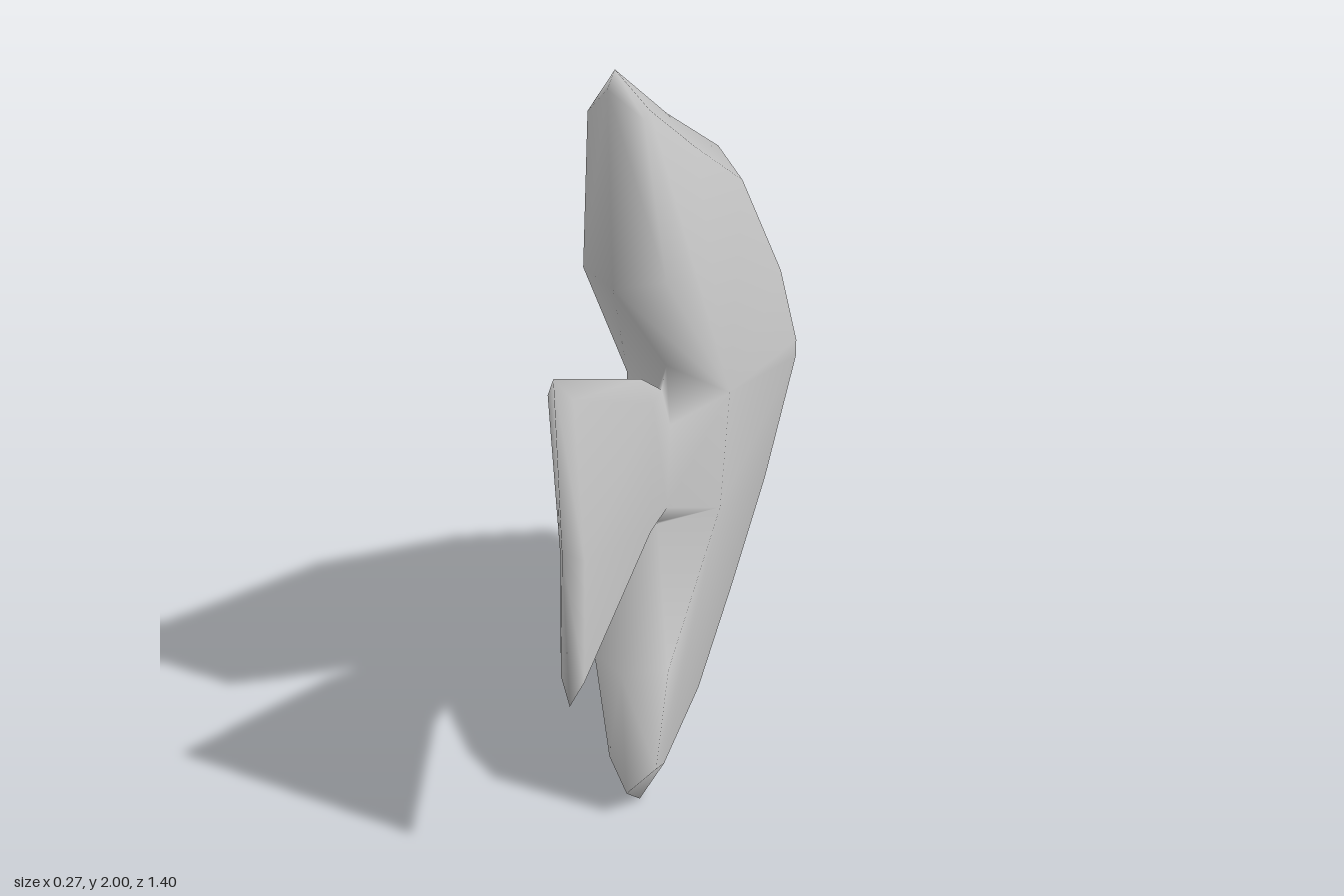
import * as THREE from 'three';

// Outline of the fish, counterclockwise from the snout over the back.
// Each row: rim z, y (on the centre plane), then cheek z, y, half width.
const SECTION = [
  [-0.70, 0.93, -0.61, 0.92, 0.075], // 0 snout
  [-0.53, 1.24, -0.47, 1.19, 0.075],
  [-0.21, 1.62, -0.18, 1.555, 0.075],
  [0.10, 1.81, 0.10, 1.74, 0.07],
  [0.37, 2.00, 0.34, 1.91, 0.065], // 4 upper fin tip
  [0.41, 1.97, 0.37, 1.90, 0.065],
  [0.40, 1.51, 0.34, 1.52, 0.10],
  [0.11, 1.18, 0.04, 1.10, 0.135], // 7 upper notch
  [0.14, 1.13, 0.16, 1.05, 0.03], // 8 tail root
  [0.26, 1.22, 0.26, 1.16, 0.03],
  [0.70, 1.44, 0.67, 1.38, 0.03],
  [0.69, 1.00, 0.64, 0.96, 0.03],
  [0.68, 0.575, 0.66, 0.64, 0.03],
  [0.28, 0.77, 0.28, 0.82, 0.03],
  [0.18, 0.78, 0.18, 0.83, 0.03], // 14 tail root
  [0.17, 0.77, 0.07, 0.79, 0.125], // 15 lower notch
  [0.40, 0.47, 0.34, 0.47, 0.10],
  [0.38, 0.08, 0.34, 0.15, 0.065],
  [0.30, 0.00, 0.29, 0.13, 0.065], // 18 lower fin tip
  [0.06, 0.14, 0.06, 0.21, 0.065],
  [-0.20, 0.32, -0.17, 0.385, 0.065],
  [-0.44, 0.55, -0.40, 0.60, 0.07],
  [-0.69, 0.86, -0.61, 0.87, 0.075],
];

function fishGeometry() {
  const n = SECTION.length;
  const positions = [];
  const index = [];
  // Rim points, then the two cheeks
  SECTION.forEach(([z, y]) => positions.push(0, y, z));
  for (const side of [1, -1]) {
    SECTION.forEach(([, , z, y, half]) => positions.push(side * half, y, z));
  }

  [1, -1].forEach((side, s) => {
    const base = n * (s + 1);
    const tri = (a, b, c) => (side > 0 ? index.push(a, b, c) : index.push(a, c, b));
    const cheek = (a, b, c) => tri(base + a, base + b, base + c);

    // Bevel from the rim to the cheek
    for (let i = 0; i < n; i++) {
      const j = (i + 1) % n;
      tri(i, j, base + j);
      tri(i, base + j, base + i);
    }
    // Body flanks fan out from the two notches
    for (let i = 0; i < 6; i++) cheek(7, i, i + 1);
    for (let i = 16; i < n - 1; i++) cheek(15, i, i + 1);
    cheek(7, 15, n - 1);
    cheek(7, n - 1, 0);
    // Step from body down to the tail root
    cheek(7, 8, 14);
    cheek(7, 14, 15);
    // Tail blade
    cheek(8, 9, 14);
    cheek(9, 13, 14);
    cheek(9, 10, 11);
    cheek(9, 11, 13);
    cheek(11, 12, 13);
  });

  const geometry = new THREE.BufferGeometry();
  geometry.setAttribute('position', new THREE.Float32BufferAttribute(positions, 3));
  geometry.setIndex(index);
  geometry.computeVertexNormals();
  return geometry;
}

export function createModel() {
  const grey = new THREE.MeshStandardMaterial({ color: 0xcccccc });
  grey.name = 'light grey';

  const group = new THREE.Group();
  group.name = 'fish';
  const body = new THREE.Mesh(fishGeometry(), grey);
  body.name = 'bodyFinsAndTail';
  group.add(body);
  return group;
}
